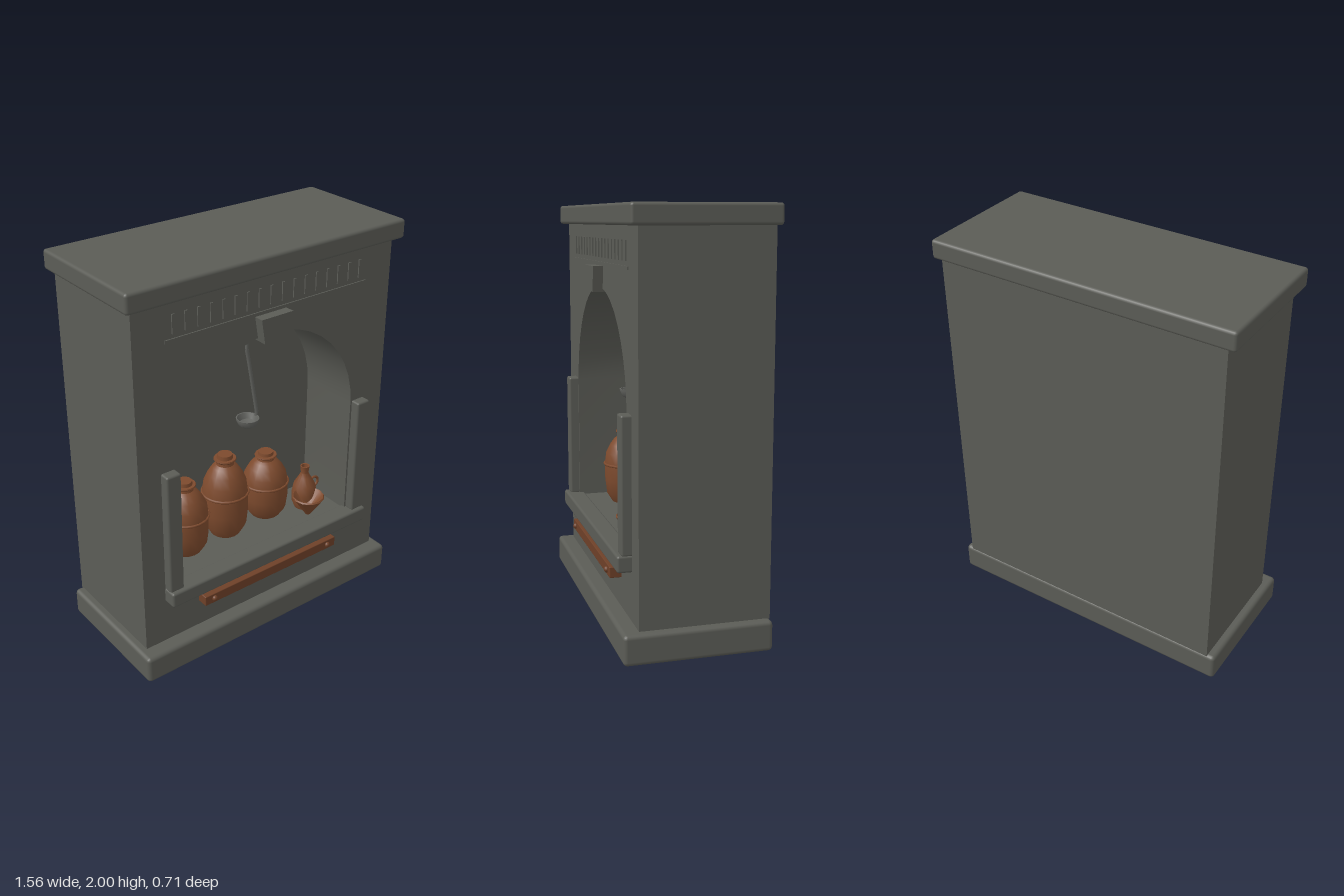
import * as THREE from 'three';
import { RoundedBoxGeometry } from 'three/addons/geometries/RoundedBoxGeometry.js';
import { toCreasedNormals } from 'three/addons/utils/BufferGeometryUtils.js';

export function createModel() {
  const model = new THREE.Group();
  model.name = 'stoneAlcove';

  const material = (name, color, side = THREE.FrontSide) => {
    const m = new THREE.MeshStandardMaterial({ color, side });
    m.name = name;
    return m;
  };
  const stone = material('stone', 0x5b5c56);
  const clay = material('clay', 0x7d4a2d, THREE.DoubleSide);
  const wood = material('wood', 0x6e4028);
  const iron = material('iron', 0x62635f, THREE.DoubleSide);

  const add = (name, geometry, mat, x = 0, y = 0, z = 0, parent = model) => {
    const mesh = new THREE.Mesh(geometry, mat);
    mesh.name = name;
    mesh.position.set(x, y, z);
    parent.add(mesh);
    return mesh;
  };
  // Block given by its limits on each axis, with softened edges
  const block = (name, mat, [x0, x1], [y0, y1], [z0, z1], r = 0.01) =>
    add(name, new RoundedBoxGeometry(x1 - x0, y1 - y0, z1 - z0, 2, r), mat,
      (x0 + x1) / 2, (y0 + y1) / 2, (z0 + z1) / 2);
  const lathe = (points, sides) =>
    toCreasedNormals(new THREE.LatheGeometry(points.map(p => new THREE.Vector2(...p)), sides), 0.6);

  // Plinth and cap slab
  block('plinth', stone, [-0.78, 0.78], [0, 0.143], [-0.34, 0.357], 0.02);
  block('capSlab', stone, [-0.78, 0.78], [1.905, 2], [-0.355, 0.32], 0.015);

  // Body: solid back and a front half pierced by the arched niche
  const front = 0.278, nicheBack = -0.05, floor = 0.445;
  const outline = () => {
    const s = new THREE.Shape();
    s.moveTo(-0.738, 0.14);
    s.lineTo(0.738, 0.14);
    s.lineTo(0.738, 1.91);
    s.lineTo(-0.738, 1.91);
    s.closePath();
    return s;
  };
  const arch = new THREE.Path();
  arch.moveTo(-0.53, floor);
  arch.lineTo(-0.53, 1.08);
  arch.absarc(0, 1.08, 0.53, Math.PI, 0, true);
  arch.lineTo(0.53, floor);
  arch.closePath();
  const frontShape = outline();
  frontShape.holes.push(arch);
  const slab = (shape, depth) =>
    toCreasedNormals(new THREE.ExtrudeGeometry(shape, { depth, bevelEnabled: false, curveSegments: 10 }), 0.5);
  add('bodyFront', slab(frontShape, front - nicheBack), stone, 0, 0, nicheBack);
  add('bodyBack', slab(outline(), nicheBack + 0.337), stone, 0, 0, -0.337);

  // Ledge and side posts framing the niche
  block('ledge', stone, [-0.62, 0.62], [0.375, 0.455], [0.25, 0.347], 0.012);
  for (const s of [-1, 1]) {
    const post = block('sidePost', stone, [0.54, 0.618], [0.45, 1.09], [0.25, 0.326], 0.01);
    post.position.x *= s;
  }

  // Keystone
  const key = new THREE.Shape([[-0.07, 1.59], [0.07, 1.59], [0.09, 1.712], [-0.09, 1.712]]
    .map(p => new THREE.Vector2(...p)));
  add('keystone', slab(key, 0.077), stone, 0, 0, 0.25);

  // Raised rule and a row of plain ornamental bars
  add('ornamentRule', new THREE.BoxGeometry(1.15, 0.015, 0.008), stone, 0, 1.724, front + 0.002);
  for (let i = 0; i < 17; i++) {
    add('ornamentBar', new THREE.BoxGeometry(0.014, 0.09, 0.008), stone, -0.53 + i * 0.0665, 1.797, front + 0.002);
  }

  // Wooden rail with two pegs
  block('rail', wood, [-0.425, 0.42], [0.287, 0.34], [0.27, 0.335], 0.004);
  for (const x of [-0.37, 0.365]) {
    const peg = add('railPeg', new THREE.SphereGeometry(0.015, 12, 8), wood, x, 0.314, 0.337);
    peg.scale.z = 0.9;
  }

  // Lidded storage jars: [x, z, height, band height]
  for (const [x, z, h, band] of [[-0.345, 0.06, 0.4, 0.205], [-0.09, 0.05, 0.455, 0.24], [0.18, 0.04, 0.37, 0.195]]) {
    const jar = new THREE.Group();
    jar.name = 'jar';
    jar.position.set(x, floor, z);
    model.add(jar);
    add('jarBody', lathe([
      [0, 0], [0.078, 0], [0.108, h * 0.12], [0.117, h * 0.3], [0.118, band],
      [0.11, h * 0.66], [0.088, h * 0.77], [0.064, h * 0.85], [0.046, h * 0.88], [0.044, h * 0.91],
      [0.058, h * 0.94], [0.056, h * 0.955], [0, h * 0.955],
    ], 16), clay, 0, 0, 0, jar);
    const ring = add('jarBand', new THREE.TorusGeometry(0.118, 0.007, 6, 24), clay, 0, band, 0, jar);
    ring.rotation.x = Math.PI / 2;
    add('jarLid', new THREE.CylinderGeometry(0.038, 0.042, 0.027, 14), clay, 0, h - 0.0135, 0, jar);
  }

  // Small jug with loop handle
  const jug = new THREE.Group();
  jug.name = 'jug';
  jug.position.set(0.382, floor, 0.12);
  model.add(jug);
  add('jugBody', lathe([
    [0, 0], [0.052, 0], [0.064, 0.03], [0.066, 0.09], [0.058, 0.135], [0.032, 0.18],
    [0.02, 0.205], [0.025, 0.245], [0.018, 0.245], [0.014, 0.2],
  ], 14), clay, 0, 0, 0, jug);
  add('jugHandle', new THREE.TorusGeometry(0.029, 0.007, 6, 16), clay, 0.065, 0.122, 0, jug);

  // Conical cup
  add('cup', lathe([[0, 0], [0.014, 0], [0.085, 0.105], [0.08, 0.112], [0.074, 0.105], [0, 0.02]], 12),
    clay, 0.342, floor + 0.005, 0.2);

  // Hanging ladle: hook, slanted handle and bowl
  const ladle = new THREE.Group();
  ladle.name = 'ladle';
  model.add(ladle);
  const rod = (name, r, points) => add(name, new THREE.TubeGeometry(
    new THREE.CatmullRomCurve3(points.map(p => new THREE.Vector3(...p)), false, 'catmullrom', 0.1),
    16, r, 6), iron, 0, 0, 0, ladle);
  rod('ladleHook', 0.008, [[-0.004, 1.62, 0.11], [-0.004, 1.46, 0.11], [0.004, 1.42, 0.11]]);
  rod('ladleHandle', 0.009, [[-0.008, 1.47, 0.115], [0.004, 1.41, 0.115], [0.052, 1.12, 0.12], [0.048, 1.1, 0.12]]);
  add('ladleBowl', lathe([
    [0, -0.045], [0.025, -0.042], [0.046, -0.028], [0.058, 0], [0.058, 0.006],
    [0.052, 0.006], [0.04, -0.022], [0, -0.036],
  ], 16), iron, -0.004, 1.1, 0.12, ladle);

  return model;
}
